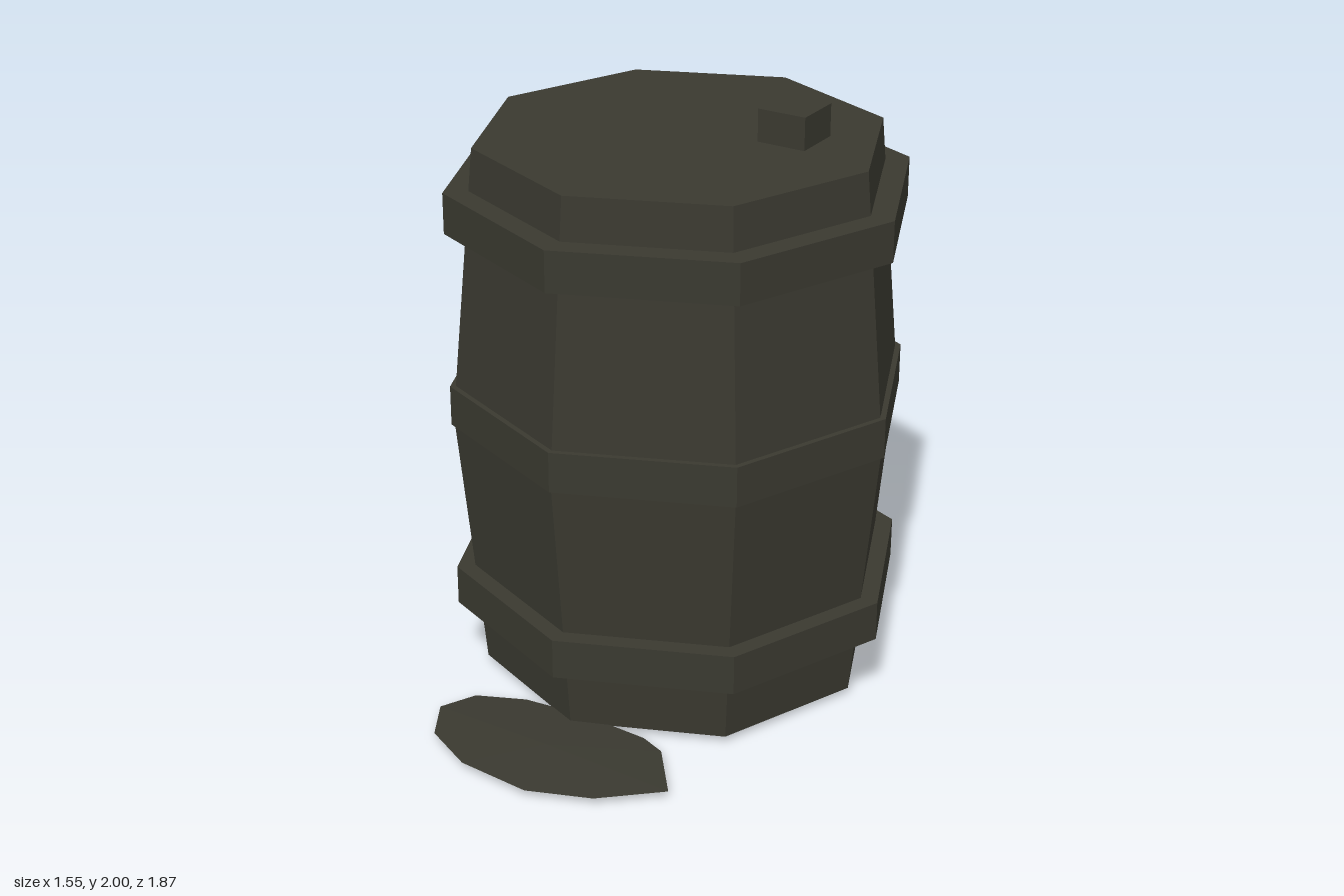
import * as THREE from 'three';

export function createModel() {
  const model = new THREE.Group();
  model.name = 'barrelWithSpill';

  const darkWood = new THREE.MeshStandardMaterial({ color: 0x3a3930, flatShading: true });
  darkWood.name = 'darkWood';

  const barrel = new THREE.Group();
  barrel.name = 'barrel';
  barrel.position.z = -0.16;
  model.add(barrel);

  const add = (name, geometry, parent) => {
    const mesh = new THREE.Mesh(geometry, darkWood);
    mesh.name = name;
    parent.add(mesh);
    return mesh;
  };

  // Eight-sided turned part from [radius, height] pairs, bottom to top
  const turned = (pairs) =>
    new THREE.LatheGeometry(pairs.map(([r, y]) => new THREE.Vector2(r, y)), 8).toNonIndexed();

  // Bulging body with closed ends
  add('body', turned([[0, 0.025], [0.68, 0.025], [0.768, 0.957], [0.68, 1.89], [0, 1.89]]), barrel);

  // Hoops
  const hoops = { lowerHoop: 0.25, middleHoop: 0.93, upperHoop: 1.608 };
  for (const [name, y] of Object.entries(hoops)) {
    add(name, turned([[0.66, y], [0.777, y], [0.777, y + 0.139], [0.66, y + 0.139]]), barrel);
  }

  // Bung on the lid
  add('bung', new THREE.BoxGeometry(0.17, 0.13, 0.17), barrel).position.set(0.337, 1.935, -0.142);

  // Spill: a shallow lens with an irregular rim
  const rim = [
    [0.49, 0.69], [0.35, 0.51], [0.26, 0.475], [0.02, 0.465], [-0.2, 0.49], [-0.36, 0.56],
    [-0.42, 0.68], [-0.34, 0.82], [-0.16, 0.91], [0.1, 0.93], [0.31, 0.85],
  ];
  const top = [0.02, 0.039, 0.69];
  const bottom = [0.02, 0, 0.69];
  const positions = [];
  rim.forEach(([x, z], i) => {
    const [nx, nz] = rim[(i + 1) % rim.length];
    const a = [x, 0.028, z];
    const b = [nx, 0.028, nz];
    positions.push(...top, ...a, ...b, ...bottom, ...b, ...a);
  });
  const spill = new THREE.BufferGeometry();
  spill.setAttribute('position', new THREE.Float32BufferAttribute(positions, 3));
  spill.computeVertexNormals();
  add('spill', spill, model);

  return model;
}
